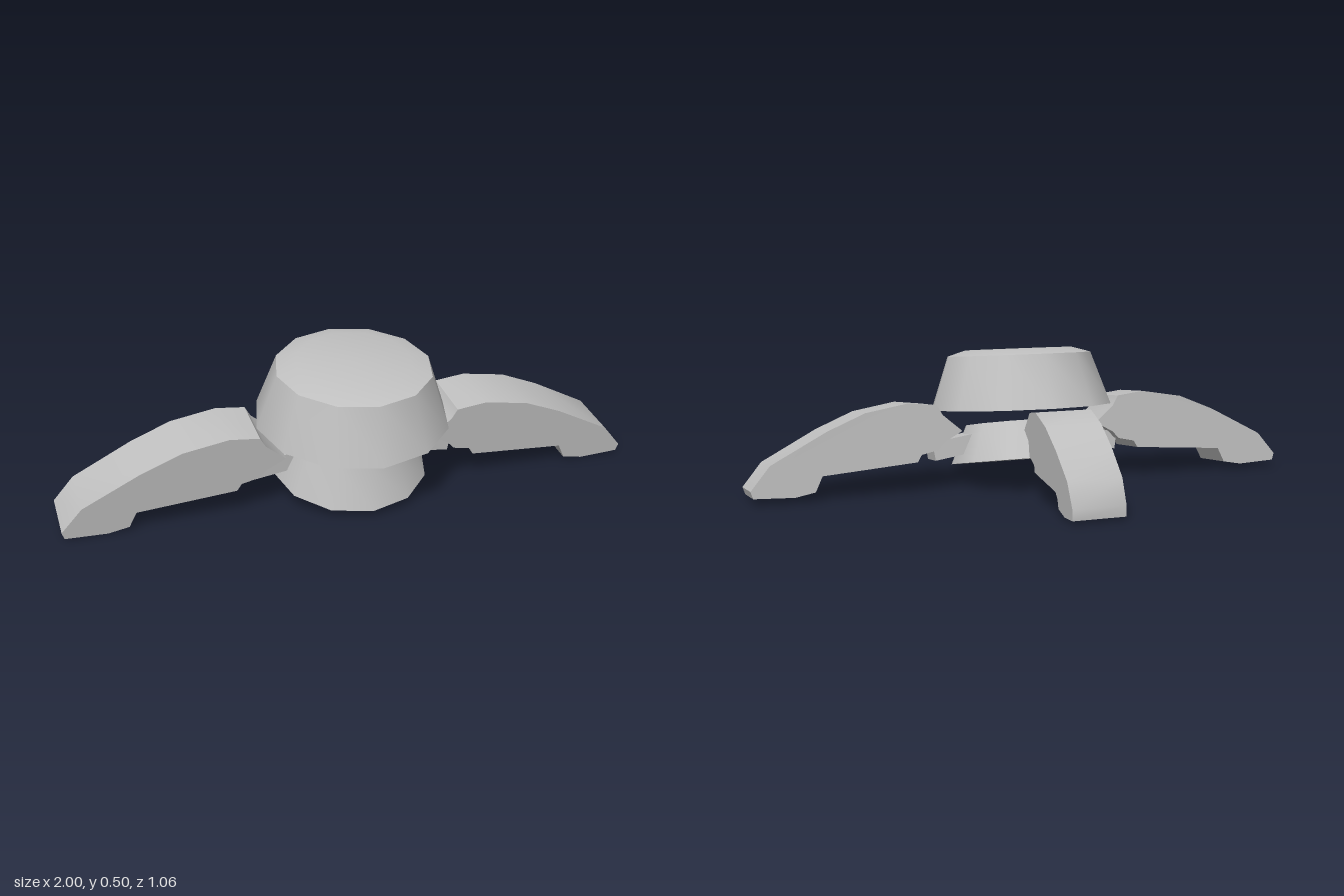
import * as THREE from 'three';
import { toCreasedNormals } from 'three/addons/utils/BufferGeometryUtils.js';

export function createModel() {
  const model = new THREE.Group();
  const grey = new THREE.MeshStandardMaterial({ color: 0xc0c0c0 });
  grey.name = 'plain grey';

  const add = (name, geometry) => {
    const mesh = new THREE.Mesh(toCreasedNormals(geometry, 0.6), grey);
    mesh.name = name;
    model.add(mesh);
    return mesh;
  };

  // Closed twelve-sided turned body
  const turned = (name, profile, tilt, y, z) => {
    const points = profile.map(([r, h]) => new THREE.Vector2(r, h));
    const mesh = add(name, new THREE.LatheGeometry(points, 12));
    mesh.rotation.x = tilt;
    mesh.position.set(0, y, z);
  };

  // Leg cut from a side outline, narrowing a little toward the foot
  const leg = (outline, side) => {
    const shape = new THREE.Shape(outline.map(([x, y]) => new THREE.Vector2(x * side, y)));
    const geo = new THREE.ExtrudeGeometry(shape, { depth: 0.2, bevelEnabled: false });
    geo.translate(0, 0, -0.1);
    const p = geo.attributes.position;
    for (let i = 0; i < p.count; i++) {
      const low = THREE.MathUtils.clamp((0.3 - p.getY(i)) / 0.3, 0, 1);
      p.setZ(i, p.getZ(i) * (1 - 0.08 * low));
    }
    return geo;
  };

  // Upper dome and lower body, both leaning forward
  turned('upperDome', [[0, 0], [0.331, 0], [0.264, 0.189], [0.196, 0.209], [0, 0.209]], 0.105, 0.275, 0.2);
  turned('lowerBody', [[0, 0], [0.269, 0], [0.206, 0.136], [0, 0.136]], 0.205, 0.083, 0.169);

  // Side legs with short struts to the body
  const sideLeg = [
    [0.255, 0.205], [0.325, 0.265], [0.345, 0.3], [0.446, 0.312], [0.6, 0.286], [0.735, 0.23], [0.93, 0.127],
    [0.998, 0.045], [0.99, 0.02], [0.85, 0.014], [0.78, 0.027], [0.755, 0.08], [0.42, 0.105],
    [0.405, 0.13], [0.345, 0.143], [0.32, 0.17],
  ];
  for (const [side, word] of [[1, 'left'], [-1, 'right']]) {
    const mesh = add(word + 'Leg', leg(sideLeg, side));
    mesh.rotation.x = 0.105;
    mesh.position.z = 0.17;

    const strut = add(word + 'Strut', new THREE.BoxGeometry(0.17, 0.065, 0.1));
    strut.position.set(0.265 * side, 0.147, 0.18);
    strut.rotation.set(0.105, 0, -0.15 * side);
  }

  // Shorter back leg
  const backLeg = [
    [0.11, 0.24], [0.165, 0.307], [0.22, 0.316], [0.31, 0.28], [0.4, 0.216], [0.49, 0.134], [0.53, 0.05],
    [0.53, 0.014], [0.463, 0.011], [0.41, 0.028], [0.403, 0.06], [0.386, 0.08], [0.2, 0.108],
    [0.196, 0.134], [0.153, 0.156], [0.148, 0.207],
  ];
  add('backLeg', leg(backLeg, 1)).rotation.y = Math.PI / 2;

  return model;
}
